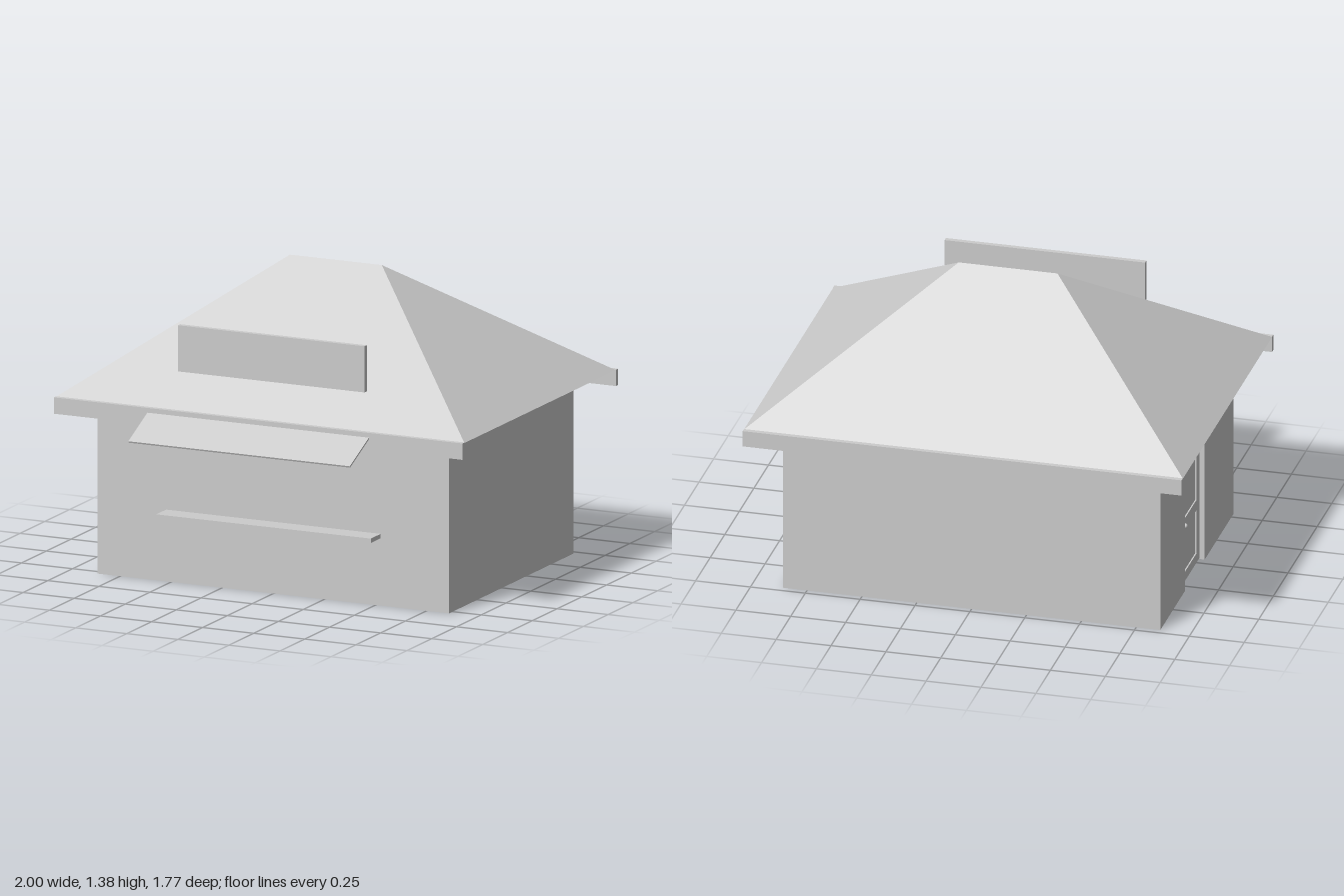
import * as THREE from 'three';

export function createModel() {
  const group = new THREE.Group();
  const grey = new THREE.MeshStandardMaterial({ color: 0xcccccc });
  grey.name = 'plain grey';

  const add = (name, geometry, x = 0, y = 0, z = 0) => {
    const mesh = new THREE.Mesh(geometry, grey);
    mesh.name = name;
    mesh.position.set(x, y, z);
    group.add(mesh);
    return mesh;
  };
  // Box given by its lower and upper limits on each axis
  const box = (name, x0, x1, y0, y1, z0, z1) =>
    add(name, new THREE.BoxGeometry(x1 - x0, y1 - y0, z1 - z0), (x0 + x1) / 2, (y0 + y1) / 2, (z0 + z1) / 2);
  const rect = (Type, z0, z1, y0, y1) =>
    new Type([[z0, y0], [z1, y0], [z1, y1], [z0, y1]].map((p) => new THREE.Vector2(...p)));
  // Plate drawn in (z, y) that grows outward towards -x
  const sidePlate = (name, shape, x, depth) => {
    const mesh = add(name, new THREE.ExtrudeGeometry(shape, { depth, bevelEnabled: false }), x);
    mesh.rotation.y = -Math.PI / 2;
    return mesh;
  };

  const eave = 0.815, ridge = 1.375, front = 0.67, back = -0.86;

  // Walls, with the doorway cut into the side skin
  box('walls', -0.83, 0.86, 0, eave, -0.72, 0.535);
  const skin = new THREE.Shape([
    [-0.72, 0], [-0.3, 0], [-0.3, 0.64], [0.04, 0.64], [0.04, 0], [0.535, 0], [0.535, eave], [-0.72, eave],
  ].map((p) => new THREE.Vector2(...p)));
  sidePlate('doorwayWall', skin, -0.83, 0.03);

  // Door with two sunken panels and a knob
  const door = rect(THREE.Shape, -0.3, 0.04, 0.005, 0.64);
  door.holes.push(rect(THREE.Path, -0.24, -0.01, 0.31, 0.54), rect(THREE.Path, -0.24, -0.01, 0.05, 0.26));
  sidePlate('door', door, -0.83, 0.006);
  add('doorKnob', new THREE.SphereGeometry(0.012, 12, 8), -0.852, 0.3, -0.265);

  // Hipped roof with a closed underside
  const corners = [
    -1, eave, front, 1, eave, front, 1, eave, back, -1, eave, back,
    -0.225, ridge, -0.095, 0.225, ridge, -0.095,
  ];
  const roof = new THREE.BufferGeometry();
  roof.setAttribute('position', new THREE.Float32BufferAttribute(corners, 3));
  roof.setIndex([0, 1, 5, 0, 5, 4, 1, 2, 5, 2, 3, 4, 2, 4, 5, 3, 0, 4, 0, 3, 2, 0, 2, 1]);
  const flatRoof = roof.toNonIndexed();
  flatRoof.computeVertexNormals();
  add('roof', flatRoof);

  // Fascia boards under the front and back eaves
  box('frontFascia', -1, 1, 0.743, 0.817, front - 0.003, front + 0.02);
  box('backFascia', -1, 1, 0.743, 0.817, back - 0.023, back);

  // Sloping awning, serving shelf and blank sign board
  const awning = add('awning', new THREE.BoxGeometry(1.084, 0.008, 0.255), 0, 0.757, 0.765);
  awning.rotation.x = Math.atan2(0.105, 0.23);
  box('servingShelf', -0.525, 0.525, 0.305, 0.325, 0.53, 0.635);
  box('signBoard', -0.457, 0.457, 0.963, 1.172, 0.535, 0.558);

  return group;
}
